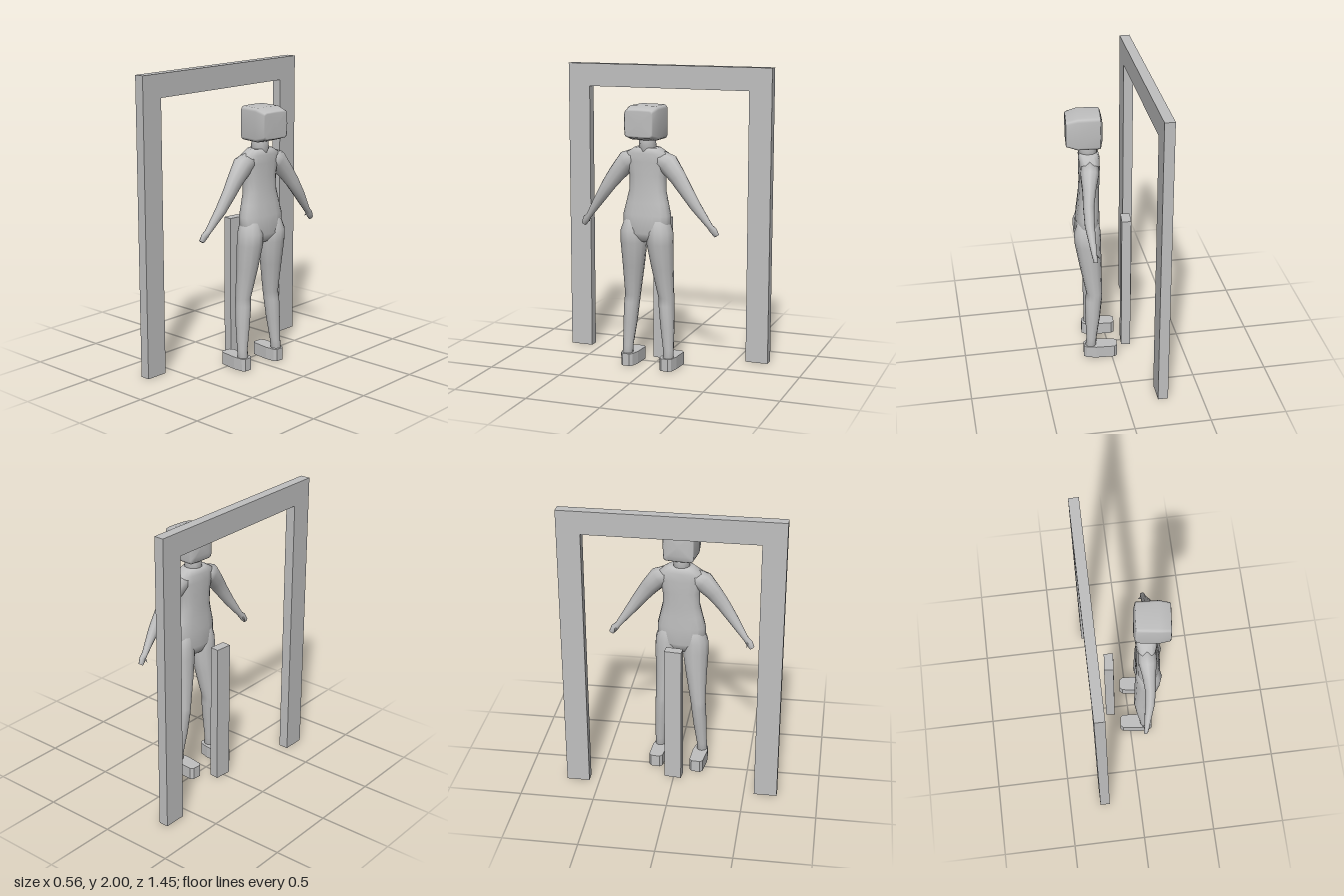
import * as THREE from 'three';

const grey = new THREE.MeshStandardMaterial({ color: 0xc0c0c0 });
grey.name = 'plain grey';

function add(parent, geometry, name) {
  const mesh = new THREE.Mesh(geometry, grey);
  mesh.name = name;
  parent.add(mesh);
  return mesh;
}

// Smooth skin over closed rings; each ring is { c: centre, u, v: half-axis vectors, e: squareness }
function loft(rings, sides) {
  const pos = [], idx = [];
  const pow = (k, e) => Math.sign(k) * Math.abs(k) ** e;
  for (const { c, u, v, e = 1 } of rings) {
    for (let j = 0; j < sides; j++) {
      const t = (j / sides) * Math.PI * 2, a = pow(Math.cos(t), e), b = pow(Math.sin(t), e);
      for (let k = 0; k < 3; k++) pos.push(c[k] + u[k] * a + v[k] * b);
    }
  }
  for (let i = 0; i < rings.length - 1; i++) {
    for (let j = 0; j < sides; j++) {
      const a = i * sides + j, b = i * sides + ((j + 1) % sides);
      idx.push(a, b, a + sides, b, b + sides, a + sides);
    }
  }
  // End caps
  const first = rings[0].c, last = rings[rings.length - 1].c;
  const p = pos.length / 3, top = (rings.length - 1) * sides;
  pos.push(...first, ...last);
  for (let j = 0; j < sides; j++) {
    const n = (j + 1) % sides;
    idx.push(p, n, j, p + 1, top + j, top + n);
  }
  const g = new THREE.BufferGeometry();
  g.setAttribute('position', new THREE.Float32BufferAttribute(pos, 3));
  g.setIndex(idx);
  g.computeVertexNormals();
  return g;
}

// Horizontal ring from front/back x, centre z and half width
const level = (y, front, back, z, half, e = 1) => ({
  c: [(front + back) / 2, y, z], u: [0, 0, half], v: [(back - front) / 2, 0, 0], e,
});

function buildLimbs(body, s, side) {
  // Leg: [y, front x, back x, centre z, half width]
  const leg = [
    [0.05, -0.03, 0.045, 0.152, 0.036], [0.14, -0.035, 0.035, 0.15, 0.036],
    [0.3, -0.06, 0.04, 0.138, 0.047], [0.44, -0.075, 0.042, 0.128, 0.052],
    [0.49, -0.076, 0.032, 0.124, 0.053], [0.7, -0.074, 0.075, 0.106, 0.074],
    [0.86, -0.072, 0.104, 0.096, 0.09], [0.94, -0.07, 0.108, 0.098, 0.085],
    [1.04, -0.055, 0.075, 0.09, 0.06],
  ].map(([y, f, b, z, h]) => level(y, f, b, z * s, h));
  add(body, loft(leg, 12), side + 'Leg');

  // Shoe
  const plan = [[-0.175, -0.03], [-0.155, -0.047], [-0.03, -0.052], [0.035, -0.042], [0.053, -0.025]];
  const outline = [...plan, ...plan.map(([x, z]) => [x, -z]).reverse()];
  const sole = new THREE.ExtrudeGeometry(
    new THREE.Shape(outline.map(([x, z]) => new THREE.Vector2(x, z))),
    { depth: 0.085, bevelEnabled: false },
  );
  sole.rotateX(-Math.PI / 2);
  add(body, sole, side + 'Shoe').position.z = 0.145 * s;

  // Arm and hand: [y, z, centre x, half thickness, half depth in x]
  const path = [
    [1.42, 0.09, 0.0, 0.06, 0.06], [1.39, 0.15, 0.003, 0.073, 0.062],
    [1.31, 0.22, 0.012, 0.06, 0.045], [1.23, 0.28, 0.02, 0.05, 0.037],
    [1.13, 0.35, 0.018, 0.038, 0.033], [1.0, 0.445, 0.0, 0.02, 0.02],
    [0.975, 0.468, -0.004, 0.026, 0.017], [0.94, 0.49, -0.01, 0.018, 0.014],
  ];
  const arm = path.map(([y, z, x, t, d], i) => {
    const a = path[Math.max(i - 1, 0)], b = path[Math.min(i + 1, path.length - 1)];
    const dy = b[0] - a[0], dz = (b[1] - a[1]) * s, l = Math.hypot(dy, dz);
    return { c: [x, y, z * s], u: [0, (-dz / l) * t, (dy / l) * t], v: [d, 0, 0] };
  });
  add(body, loft(arm, 10), side + 'Arm');

  // Thumb
  const thumb = add(body, new THREE.ConeGeometry(0.01, 0.045, 6), side + 'Thumb');
  thumb.position.set(-0.025, 0.965, 0.458 * s);
  thumb.rotation.z = 2.3;
}

export function createModel() {
  const model = new THREE.Group();
  model.name = 'personAtDoorway';

  // Doorway: an arch cut from a flat panel
  const arch = new THREE.Shape([
    [-0.725, 0], [-0.57, 0], [-0.57, 1.845], [0.57, 1.845], [0.57, 0], [0.725, 0], [0.725, 2], [-0.725, 2],
  ].map(([x, y]) => new THREE.Vector2(x, y)));
  const frame = new THREE.ExtrudeGeometry(arch, { depth: 0.067, bevelEnabled: false });
  frame.translate(0, 0, -0.0335);
  const doorFrame = add(model, frame, 'doorFrame');
  doorFrame.position.x = -0.247;
  doorFrame.rotation.y = Math.PI / 2 - 0.0055;

  // Short post
  const post = add(model, new THREE.BoxGeometry(0.063, 0.985, 0.116), 'post');
  post.position.set(-0.126, 0.4925, -0.003);
  post.rotation.y = -0.1;

  // Person facing -x
  const person = new THREE.Group();
  person.name = 'person';
  person.position.set(0.12, 0, 0.015);
  person.rotation.y = -0.1;
  model.add(person);

  // Torso from crotch to shoulders: [y, front x, back x, half width]
  const torso = [
    [0.87, -0.045, 0.06, 0.08], [0.93, -0.068, 0.1, 0.165], [1.05, -0.068, 0.09, 0.167],
    [1.13, -0.066, 0.08, 0.147], [1.21, -0.066, 0.072, 0.128], [1.31, -0.07, 0.068, 0.128],
    [1.4, -0.072, 0.07, 0.15], [1.455, -0.07, 0.07, 0.15], [1.493, -0.06, 0.062, 0.085],
  ].map(([y, f, b, h]) => level(y, f, b, 0, h, 0.8));
  add(person, loft(torso, 16), 'torso');
  add(person, loft([level(1.46, -0.058, 0.068, 0, 0.06), level(1.57, -0.055, 0.065, 0, 0.05)], 12), 'neck');

  // Boxy head, lofted from the face backwards: [x, half height, half width]
  const head = [
    [-0.085, 0.068, 0.065], [-0.074, 0.108, 0.098], [-0.068, 0.113, 0.105],
    [0.075, 0.113, 0.112], [0.148, 0.09, 0.103], [0.151, 0.08, 0.095],
  ].map(([x, h, w]) => ({ c: [x, 1.657, -0.005], u: [0, h, 0], v: [0, 0, w], e: 0.25 }));
  add(person, loft(head, 16), 'head');

  buildLimbs(person, 1, 'left');
  buildLimbs(person, -1, 'right');
  return model;
}
